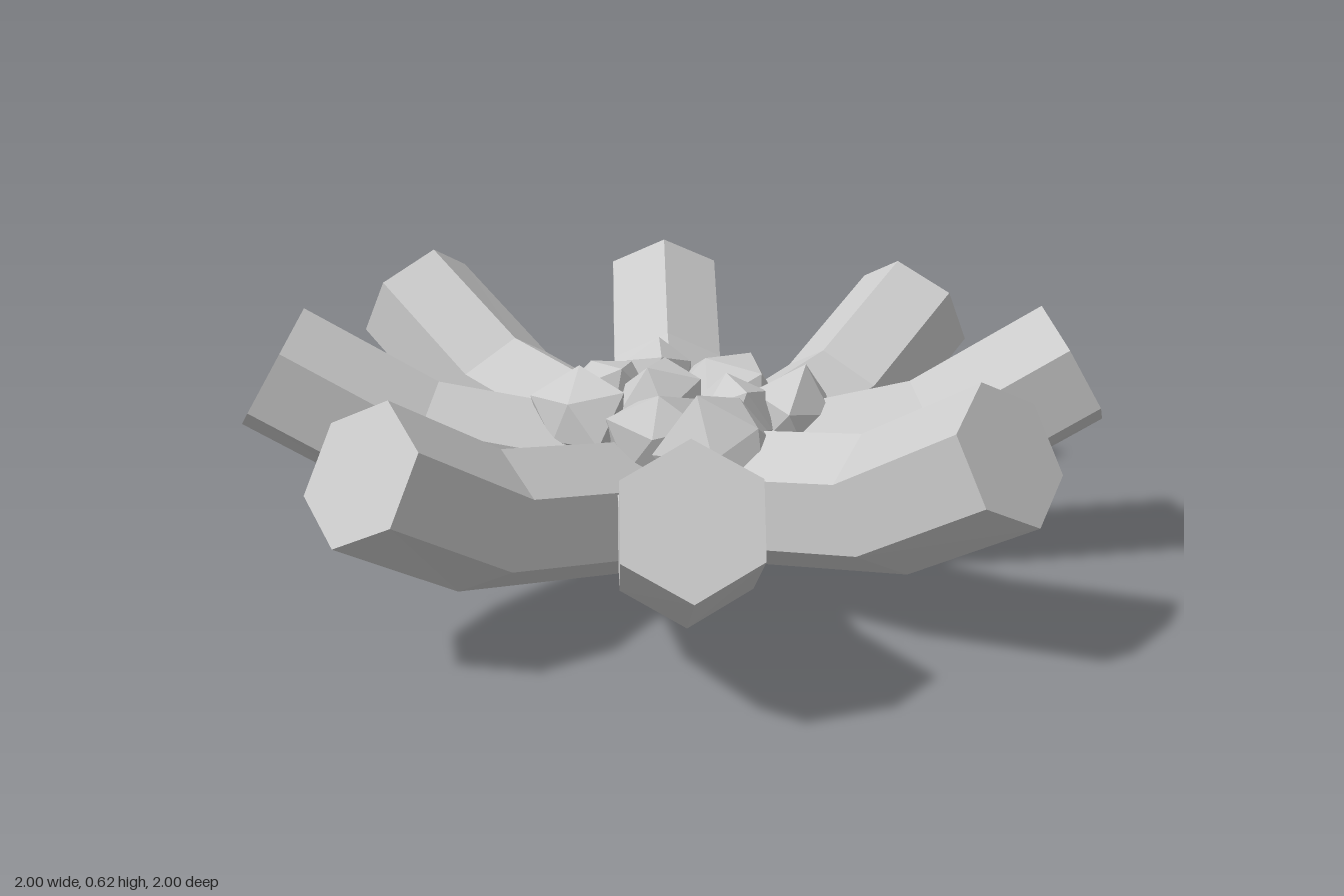
import * as THREE from 'three';
import { mergeVertices } from 'three/addons/utils/BufferGeometryUtils.js';

const material = new THREE.MeshStandardMaterial({ color: 0xcccccc, flatShading: true });

// Small seeded generator for the rock shapes
let seed = 11;
function rand() {
  seed = (seed * 16807) % 2147483647;
  return seed / 2147483647;
}

// Rings along a log: [distance from centre, height, tilt in degrees]
const LOG_RINGS = [[0, 0.157, 0], [0.165, 0.157, 5], [0.61, 0.25, 25], [0.92, 0.433, 30]];
const LOG_RADIUS = 0.158;

// A hexagonal log, ridge up, bent upward along +x
function logGeometry() {
  const steps = LOG_RINGS.length - 1;
  const geo = new THREE.CylinderGeometry(LOG_RADIUS, LOG_RADIUS, 1, 6, steps);
  const pos = geo.attributes.position;
  for (let i = 0; i < pos.count; i++) {
    const [r, y, tilt] = LOG_RINGS[Math.round((pos.getY(i) + 0.5) * steps)];
    const a = THREE.MathUtils.degToRad(tilt);
    const side = pos.getX(i), up = pos.getZ(i);
    pos.setXYZ(i, r - up * Math.sin(a), y + up * Math.cos(a), side);
  }
  const flat = geo.toNonIndexed();
  flat.computeVertexNormals();
  return flat;
}

// A jagged stone: a twenty-sided ball with its corners pushed in and out
function rockGeometry(radius) {
  let geo = new THREE.IcosahedronGeometry(1, 0);
  geo.deleteAttribute('normal');
  geo.deleteAttribute('uv');
  geo = mergeVertices(geo, 0.001);
  const pos = geo.attributes.position;
  const v = new THREE.Vector3();
  for (let i = 0; i < pos.count; i++) {
    v.fromBufferAttribute(pos, i).multiplyScalar(radius * (0.8 + 0.4 * rand()));
    pos.setXYZ(i, v.x, v.y, v.z);
  }
  const flat = geo.toNonIndexed();
  flat.computeVertexNormals();
  return flat;
}

export function createModel() {
  const model = new THREE.Group();
  model.name = 'campfire';

  // Eight logs fanned around the centre, each resting at its own height
  const logs = new THREE.Group();
  logs.name = 'logs';
  const lifts = [0, 0.005, 0.04, 0.045, 0.01, 0.005, 0.035, 0.035];
  const geo = logGeometry();
  lifts.forEach((lift, i) => {
    const log = new THREE.Mesh(geo, material);
    log.name = 'log' + (i + 1);
    log.rotation.y = (i * Math.PI) / 4;
    log.position.set(-0.003, lift, -0.005);
    logs.add(log);
  });
  model.add(logs);

  // Heap of stones in the middle: [x, y, z, radius]
  const heap = new THREE.Group();
  heap.name = 'stones';
  const stones = [
    [0, 0.35, -0.24, 0.11], [0.17, 0.36, -0.22, 0.1], [-0.18, 0.36, -0.13, 0.12],
    [0, 0.36, -0.07, 0.11], [0.2, 0.33, -0.03, 0.13], [-0.11, 0.33, 0.04, 0.13],
    [0.09, 0.35, 0.1, 0.1], [-0.07, 0.32, 0.19, 0.14], [0.22, 0.33, 0.17, 0.125],
  ];
  stones.forEach(([x, y, z, r], i) => {
    const stone = new THREE.Mesh(rockGeometry(r), material);
    stone.name = 'stone' + (i + 1);
    stone.position.set(x, y, z);
    stone.rotation.set(rand() * 6, rand() * 6, rand() * 6);
    heap.add(stone);
  });
  model.add(heap);

  return model;
}
